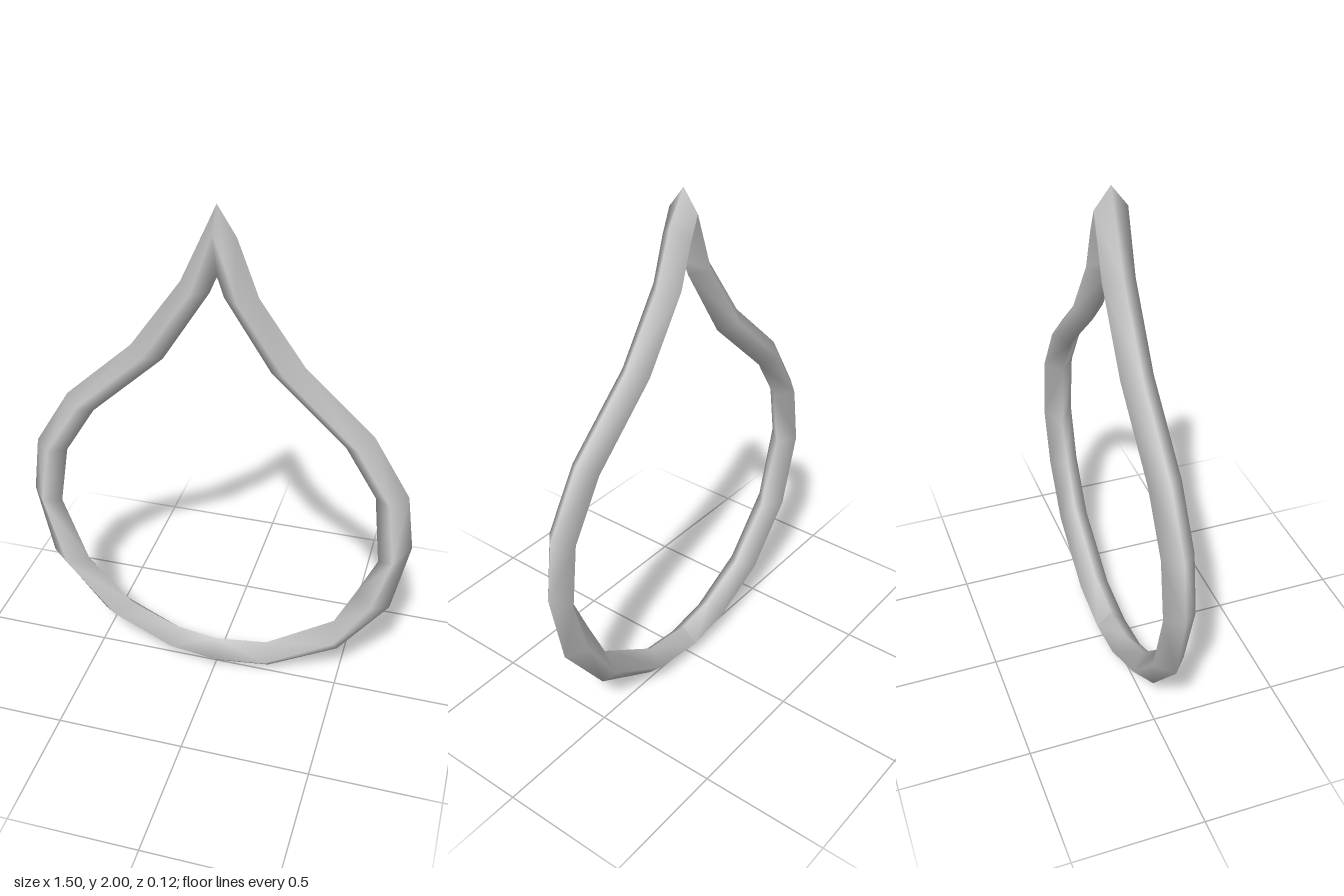
import * as THREE from 'three';

// Tube of diamond section: each station is [outer x, outer y, inner x, inner y, optional ridge y]
const DEPTH = 0.06;

function diamondTube(name, stations, flip, material) {
  const positions = [];
  const index = [];
  for (const [ox, oy, ix, iy, ridgeY] of stations) {
    const mx = (ox + ix) / 2;
    const my = ridgeY ?? (oy + iy) / 2;
    positions.push(ox, oy, 0, mx, my, DEPTH, ix, iy, 0, mx, my, -DEPTH);
  }
  for (let i = 0; i < stations.length - 1; i++) {
    for (let k = 0; k < 4; k++) {
      const a = i * 4 + k;
      const c = i * 4 + ((k + 1) % 4);
      const b = a + 4;
      const d = c + 4;
      if (flip) index.push(a, c, b, b, c, d);
      else index.push(a, b, c, b, d, c);
    }
  }
  const geometry = new THREE.BufferGeometry();
  geometry.setAttribute('position', new THREE.Float32BufferAttribute(positions, 3));
  geometry.setIndex(index);
  geometry.computeVertexNormals();
  const mesh = new THREE.Mesh(geometry, material);
  mesh.name = name;
  return mesh;
}

export function createModel() {
  const group = new THREE.Group();
  group.name = 'teardropRing';
  const metal = new THREE.MeshStandardMaterial({ color: 0xcccccc, side: THREE.DoubleSide });
  metal.name = 'light grey';

  // Both halves run from the bottom seam up to the pointed tip
  const bottom = [0, 0, 0, 0.12];
  const tip = [0, 2, 0, 1.74, 1.92];
  const shoulder = [
    [0.72, 0.97, 0.6, 0.945],
    [0.58, 1.2, 0.48, 1.14],
    [0.32, 1.44, 0.2, 1.4],
  ];

  const leftHalf = [
    bottom,
    [0.22, 0.03, 0.21, 0.15],
    [0.5, 0.19, 0.48, 0.33],
    [0.69, 0.45, 0.56, 0.5],
    [0.75, 0.75, 0.63, 0.66],
    ...shoulder,
    [0.15, 1.68, 0.025, 1.67],
    [0.07, 1.89, 0.005, 1.73, 1.83],
    tip,
  ];
  const rightHalf = [
    bottom,
    [-0.2, 0.03, -0.17, 0.145],
    [-0.48, 0.18, -0.36, 0.23],
    [-0.69, 0.44, -0.54, 0.42],
    [-0.75, 0.74, -0.64, 0.7],
    ...shoulder.map(([ox, oy, ix, iy]) => [-ox, oy, -ix, iy]),
    [-0.13, 1.71, -0.025, 1.68],
    tip,
  ];

  group.add(diamondTube('leftHalf', leftHalf, false, metal));
  group.add(diamondTube('rightHalf', rightHalf, true, metal));
  return group;
}
